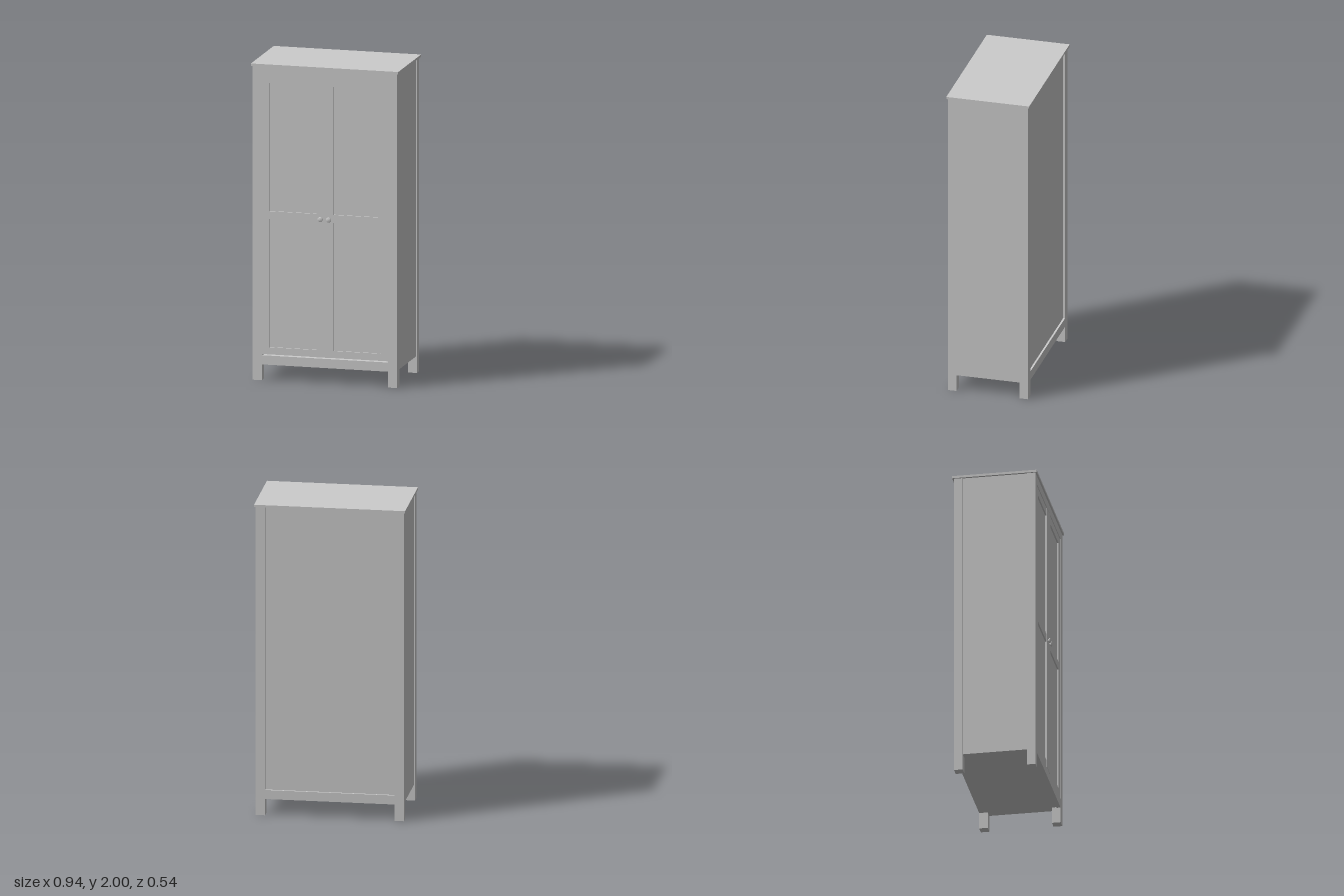
import * as THREE from 'three';

export function createModel() {
  const model = new THREE.Group();
  const material = new THREE.MeshStandardMaterial({ color: 0xcccccc });

  const add = (name, geometry) => {
    const mesh = new THREE.Mesh(geometry, material);
    mesh.name = name;
    model.add(mesh);
    return mesh;
  };
  // Box given by its lower and upper limits on each axis
  const box = (name, x0, x1, y0, y1, z0, z1) => {
    const mesh = add(name, new THREE.BoxGeometry(x1 - x0, y1 - y0, z1 - z0));
    mesh.position.set((x0 + x1) / 2, (y0 + y1) / 2, (z0 + z1) / 2);
    return mesh;
  };
  const rect = (path, x0, x1, y0, y1) => {
    path.moveTo(x0, y0);
    path.lineTo(x1, y0);
    path.lineTo(x1, y1);
    path.lineTo(x0, y1);
    path.closePath();
    return path;
  };

  const front = 0.254, back = -0.257, top = 1.985;
  const inner = 0.405, outer = 0.463, post = 0.054;

  box('topBoard', -0.472, 0.472, top, 2, -0.268, 0.263);

  for (const s of [-1, 1]) {
    // Corner posts run down into the feet
    const lo = Math.min(s * inner, s * outer), hi = Math.max(s * inner, s * outer);
    box('frontPost', lo, hi, 0, top, front - post, front);
    box('backPost', lo, hi, 0, top, back, back + post);
    // Side panel, set in slightly from the posts
    const face = s * (outer - 0.005), inside = s * (outer - 0.03);
    box('sidePanel', Math.min(face, inside), Math.max(face, inside), 0.105, top, back + post, front - post);
  }

  // Front and back rails, floor and back panel
  box('frontTopRail', -inner, inner, 1.93, top, front - 0.03, front);
  box('frontBottomRail', -inner, inner, 0.1, 0.158, front - 0.025, front);
  box('backBottomRail', -inner, inner, 0.105, 0.163, back, back + 0.025);
  box('floorBoard', -outer + 0.03, outer - 0.03, 0.105, 0.13, back + 0.02, front - 0.024);
  box('backPanel', -inner, inner, 0.13, top, back + 0.012, back + 0.025);

  // Doors: a frame with two openings, a recessed panel behind and a knob
  const knobProfile = [[0, 0], [0.006, 0], [0.006, 0.006], [0.016, 0.014], [0.016, 0.017], [0.012, 0.02], [0, 0.021]]
    .map(([r, h]) => new THREE.Vector2(r, h));
  for (const s of [-1, 1]) {
    const door = s < 0 ? 'rightDoor' : 'leftDoor';
    const span = (a, b) => (s < 0 ? [-b, -a] : [a, b]);
    const shape = rect(new THREE.Shape(), ...span(0, inner), 0.165, 1.93);
    for (const [y0, y1] of [[0.21, 1.02], [1.07, 1.88]])
      shape.holes.push(rect(new THREE.Path(), ...span(0.055, 0.355), y0, y1));
    const frame = add(door + 'Frame', new THREE.ExtrudeGeometry(shape, { depth: 0.02, bevelEnabled: false }));
    frame.position.z = front - 0.024;
    box(door + 'Panel', ...span(0, inner), 0.165, 1.93, front - 0.03, front - 0.013);

    const knob = add(door + 'Knob', new THREE.LatheGeometry(knobProfile, 24));
    knob.rotation.x = Math.PI / 2;
    knob.position.set(s * 0.027, 1.04, front - 0.006 + 0.0025);
  }
  // Raised strip where the doors meet
  box('meetingStile', -0.055, 0.055, 0.165, 1.93, front - 0.02, front - 0.001);

  return model;
}
